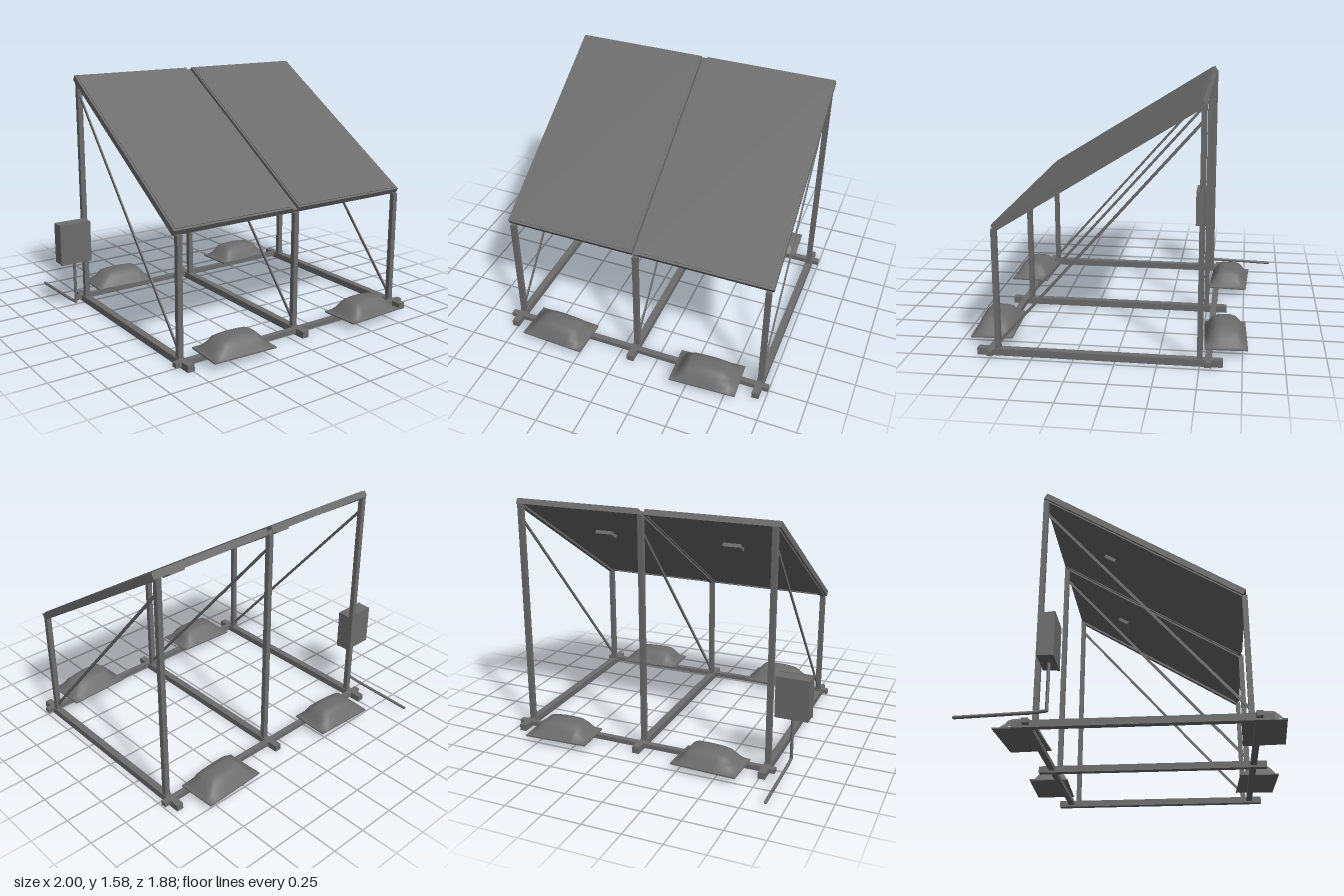
import * as THREE from 'three';

const grey = new THREE.MeshStandardMaterial({ color: 0x6c6c6c });

function add(parent, name, geometry, x = 0, y = 0, z = 0) {
  const mesh = new THREE.Mesh(geometry, grey);
  mesh.name = name;
  mesh.position.set(x, y, z);
  parent.add(mesh);
  return mesh;
}

// Box given by its lower and upper corners
function block(parent, name, [x0, y0, z0], [x1, y1, z1]) {
  return add(parent, name, new THREE.BoxGeometry(x1 - x0, y1 - y0, z1 - z0),
    (x0 + x1) / 2, (y0 + y1) / 2, (z0 + z1) / 2);
}

// Thin flat bar between two points in the y-z plane
function brace(parent, name, x, [y0, z0], [y1, z1]) {
  const bar = add(parent, name, new THREE.BoxGeometry(0.009, 0.017, Math.hypot(y1 - y0, z1 - z0)),
    x, (y0 + y1) / 2, (z0 + z1) / 2);
  bar.rotation.x = -Math.atan2(y1 - y0, z1 - z0);
}

// Framed panel, top surface at y = 0 of the sloping group
function solarPanel(parent, x, width, length) {
  const panel = new THREE.Group();
  panel.name = 'solarPanel';
  panel.position.x = x;
  parent.add(panel);
  const w = width / 2, l = length / 2, rim = 0.014, top = -0.004, depth = 0.038;
  block(panel, 'panelSheet', [-w + rim, -0.036, -l + rim], [w - rim, 0, l - rim]);
  for (const s of [-1, 1]) {
    add(panel, 'frameSide', new THREE.BoxGeometry(rim, depth, length), s * (w - rim / 2), top - depth / 2, 0);
    add(panel, 'frameEnd', new THREE.BoxGeometry(width - 2 * rim, depth, rim), 0, top - depth / 2, s * (l - rim / 2));
  }
  block(panel, 'junctionBox', [-0.07, -0.06, -0.3], [0.05, -0.03, -0.22]);
}

// Ballast bag: domed top made from two height profiles, on a flat hem
function ballastBag(parent, x, z, side) {
  let xs = [[-0.215, 0], [-0.2, 0.08], [-0.165, 0.46], [-0.118, 0.88], [-0.07, 0.96], [-0.027, 1],
    [0.04, 1], [0.107, 0.96], [0.134, 0.82], [0.165, 0.42], [0.192, 0.06], [0.215, 0]];
  if (side > 0) xs = xs.map(([p, h]) => [-p, h]).reverse();
  const zs = [[-0.13, 0], [-0.115, 0.2], [-0.09, 0.55], [-0.065, 0.88], [-0.03, 1],
    [0.03, 1], [0.065, 0.95], [0.095, 0.65], [0.118, 0.2], [0.13, 0]];
  const dome = new THREE.PlaneGeometry(1, 1, xs.length - 1, zs.length - 1);
  const pos = dome.attributes.position;
  zs.forEach(([pz, hz], j) => xs.forEach(([px, hx], i) => {
    pos.setXYZ(j * xs.length + i, px, 0.01 + 0.096 * hx * hz, pz);
  }));
  dome.computeVertexNormals();
  const bag = new THREE.Group();
  bag.name = 'ballastBag';
  bag.position.set(x, 0.048, z);
  bag.rotation.y = side * 0.045;
  parent.add(bag);
  add(bag, 'bagDome', dome);
  add(bag, 'bagHem', new THREE.BoxGeometry(0.43, 0.009, 0.26), 0, 0.0045, 0);
}

export function createModel() {
  const model = new THREE.Group();
  model.name = 'solarPanelStand';

  // Base beams along x
  for (const z of [0.755, -0.55]) {
    block(model, 'crossBeam', [-0.828, 0.013, z - 0.019], [1, 0.043, z + 0.019]);
  }

  // Sloping deck with rails and two panels
  const length = 1.432;
  const deck = new THREE.Group();
  deck.name = 'slopingDeck';
  deck.position.set(0, 1.2, 0.118);
  deck.rotation.x = 0.557;
  model.add(deck);
  solarPanel(deck, -0.367, 0.862, length);
  solarPanel(deck, 0.536, 0.86, length);

  // Three side frames: foot beam, legs, diagonal brace and rail
  for (const x of [-0.765, 0.086, 0.937]) {
    block(model, 'footBeam', [x - 0.023, 0, -0.637], [x + 0.023, 0.043, 0.84]);
    block(model, 'frontLeg', [x - 0.017, 0.04, 0.698], [x + 0.017, 0.79, 0.73]);
    block(model, 'backLeg', [x - 0.017, 0.04, -0.517], [x + 0.017, 1.545, -0.485]);
    brace(model, 'diagonalBrace', x, [0.08, 0.705], [1.44, -0.49]);
    block(deck, 'rail', [x - 0.017, -0.05, -length / 2], [x + 0.017, -0.02, length / 2]);
  }

  // Ballast bags on both cross beams
  for (const z of [0.8, -0.643]) {
    ballastBag(model, -0.435, z, -1);
    ballastBag(model, 0.607, z, 1);
  }

  // Control box with its door
  block(model, 'controlBox', [-0.997, 0.345, -0.467], [-0.784, 0.615, -0.386]);
  block(model, 'controlBoxDoor', [-1, 0.342, -0.386], [-0.782, 0.618, -0.37]);

  // Cable conduit running down and out to the back
  const points = [[0.35, -0.415], [0.055, -0.415], [0.046, -0.5], [0.032, -0.935]]
    .map(([y, z]) => new THREE.Vector3(-0.888, y, z));
  for (let i = 0; i < points.length - 1; i++) {
    const line = new THREE.LineCurve3(points[i], points[i + 1]);
    add(model, 'conduit', new THREE.TubeGeometry(line, 1, 0.01, 10));
    add(model, 'conduitJoint', new THREE.SphereGeometry(0.01, 10, 8), ...points[i + 1].toArray());
  }
  return model;
}
